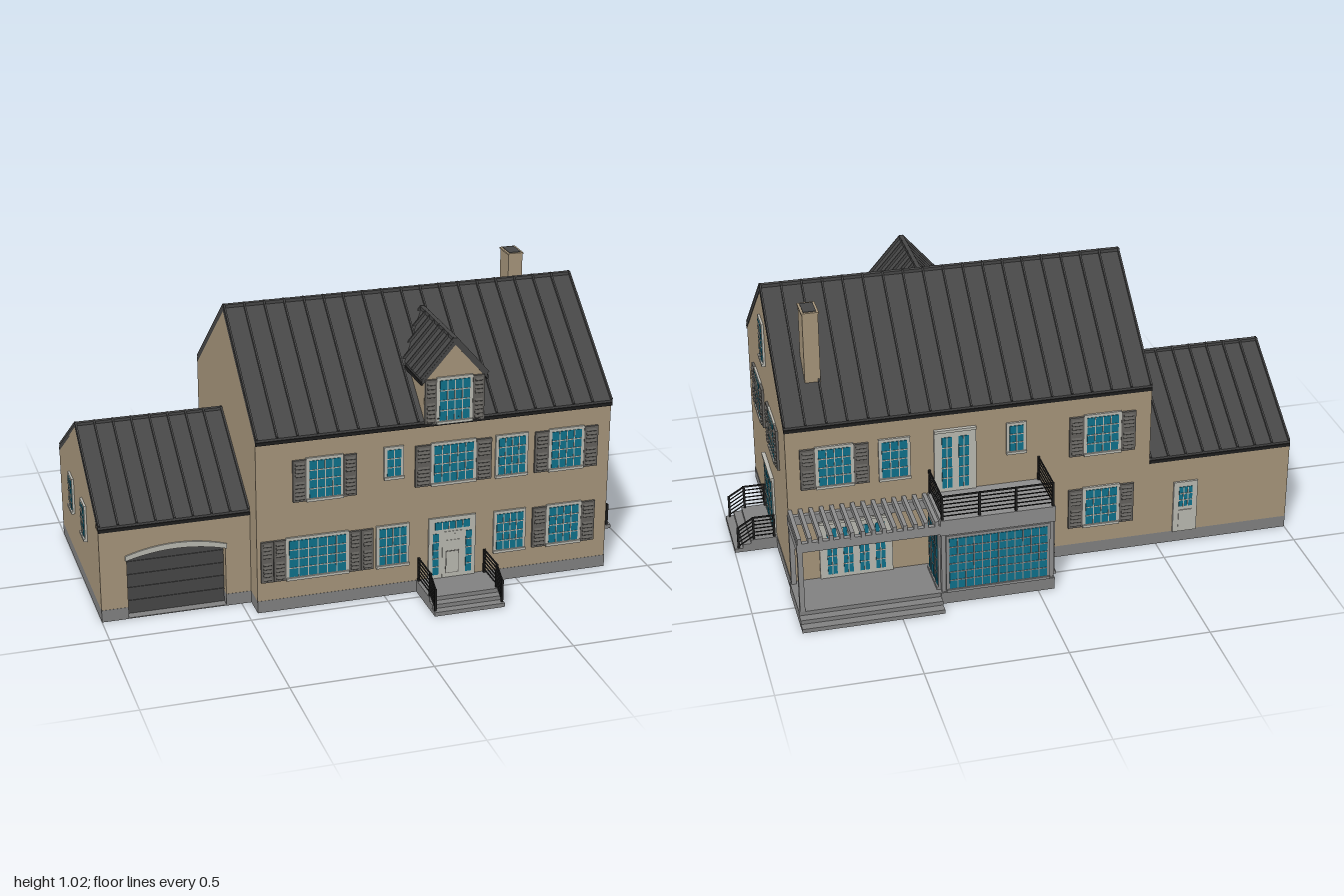
import * as THREE from 'three';

const mat = (name, color) => Object.assign(new THREE.MeshStandardMaterial({ color }), { name });

export function createModel() {
  const M = {
    wall: mat('tan wall', 0xa5947a), roof: mat('charcoal roof', 0x464646), stone: mat('grey stone', 0x808080),
    trim: mat('pale trim', 0xb9b8b0), glass: mat('blue glass', 0x0e708a), shutter: mat('shutter grey', 0x62605c),
    metal: mat('black metal', 0x1e1e1e), paint: mat('grey paint', 0x8c8c8c),
  };
  const root = new THREE.Group();
  root.name = 'house';

  const group = (name, parent = root, x = 0, y = 0, z = 0, ry = 0) => {
    const g = new THREE.Group();
    g.name = name;
    g.position.set(x, y, z);
    g.rotation.y = ry;
    parent.add(g);
    return g;
  };
  const add = (name, geo, m, parent = root) => {
    const mesh = new THREE.Mesh(geo, m);
    mesh.name = name;
    parent.add(mesh);
    return mesh;
  };
  // box given by its limits on each axis
  const box = (name, m, x0, x1, y0, y1, z0, z1, parent = root) => {
    const b = add(name, new THREE.BoxGeometry(x1 - x0, y1 - y0, z1 - z0), m, parent);
    b.position.set((x0 + x1) / 2, (y0 + y1) / 2, (z0 + z1) / 2);
    return b;
  };
  // square bar between two points
  const bar = (name, m, a, b, w, h, parent) => {
    const s = new THREE.Vector3(...a), e = new THREE.Vector3(...b);
    const r = add(name, new THREE.BoxGeometry(w, h, s.distanceTo(e)), m, parent);
    r.position.copy(s).lerp(e, 0.5);
    r.quaternion.setFromRotationMatrix(new THREE.Matrix4().lookAt(e, s, new THREE.Vector3(0, 1, 0)));
    return r;
  };
  const prism = (name, pts, depth, m, parent) => add(name, new THREE.ExtrudeGeometry(
    new THREE.Shape(pts.map(p => new THREE.Vector2(...p))), { depth, bevelEnabled: false }), m, parent);

  // gabled roof with standing seams; ridge runs along local z
  const roof = (g, l, r, eave, ridge, len, seams) => {
    const c = (l + r) / 2, t = 0.02;
    prism('roofSlab', [[l, eave], [l, eave - t], [c, ridge - t], [r, eave - t], [r, eave], [c, ridge]], len, M.roof, g);
    for (let i = 0; i <= seams; i++) {
      const z = 0.004 + (len - 0.008) * i / seams;
      for (const e of [l, r]) bar('roofSeam', M.roof, [e, eave, z], [c, ridge, z], 0.006, 0.018, g);
    }
    box('ridgeCap', M.roof, c - 0.008, c + 0.008, ridge - 0.008, ridge + 0.005, 0, len, g);
    for (const e of [l, r]) box('gutter', M.metal, e - 0.004, e + 0.004, eave - 0.02, eave - 0.008, 0, len, g);
  };

  // main block
  const main = group('mainBlock', root, -0.465, 0, 0, Math.PI / 2);
  prism('mainWalls', [[-0.455, 0.045], [0.4, 0.045], [0.4, 0.642], [-0.03, 0.985], [-0.455, 0.642]], 1.308, M.wall, main);
  roof(main, -0.46, 0.4, 0.655, 0.997, 1.31, 18);
  box('foundation', M.stone, -0.465, 0.845, 0, 0.045, -0.4, 0.456);

  // garage wing
  const wing = group('garageWing', root, -1, 0, 0, Math.PI / 2);
  prism('garageWalls', [[-0.325, 0.045], [0.4, 0.045], [0.4, 0.342], [0.0175, 0.583], [-0.325, 0.364]], 0.535, M.wall, wing);
  roof(wing, -0.365, 0.4, 0.36, 0.595, 0.535, 8);
  box('garageFoundation', M.stone, -1, -0.465, 0, 0.045, -0.4, 0.325);
  const front = new THREE.Shape();
  front.moveTo(-1, 0.045).lineTo(-0.905, 0.045).lineTo(-0.905, 0.225).quadraticCurveTo(-0.73, 0.275, -0.555, 0.225);
  front.lineTo(-0.555, 0.045).lineTo(-0.465, 0.045).lineTo(-0.465, 0.345).lineTo(-1, 0.345);
  add('garageFront', new THREE.ExtrudeGeometry(front, { depth: 0.04, bevelEnabled: false }), M.wall).position.z = 0.325;
  const arch = new THREE.Shape();
  arch.moveTo(-0.91, 0.224).quadraticCurveTo(-0.73, 0.276, -0.55, 0.224).lineTo(-0.55, 0.242);
  arch.quadraticCurveTo(-0.73, 0.3, -0.91, 0.242);
  add('garageArch', new THREE.ExtrudeGeometry(arch, { depth: 0.008, bevelEnabled: false }), M.trim).position.z = 0.363;
  for (const [a, b] of [[-1, -0.905], [-0.555, -0.465]]) box('garagePlinth', M.stone, a, b, 0, 0.045, 0.325, 0.366);
  box('garageThreshold', M.stone, -0.905, -0.555, 0, 0.003, 0.325, 0.365);
  box('garageDoor', M.roof, -0.905, -0.555, 0.003, 0.255, 0.325, 0.331);
  for (let i = 1; i < 5; i++) box('garageDoorRib', M.roof, -0.905, -0.555, i * 0.05, i * 0.05 + 0.004, 0.331, 0.334);

  // chimney
  box('chimney', M.wall, 0.69, 0.745, 0.6, 1.01, -0.276, -0.19);
  box('chimneyCap', M.wall, 0.687, 0.748, 1.01, 1.016, -0.279, -0.187);
  box('chimneyFlue', M.roof, 0.695, 0.74, 1.014, 1.018, -0.27, -0.196);

  // dormer
  prism('dormerWalls', [[0.14, 0.62], [0.36, 0.62], [0.36, 0.805], [0.25, 0.932], [0.14, 0.805]], 0.35, M.wall).position.z = 0.104;
  roof(group('dormerRoof', root, 0, 0, 0.1), 0.13, 0.37, 0.808, 0.945, 0.357, 7);

  // wall faces: local x runs along the wall, local z points outwards
  const F = group('frontOpenings', root, 0, 0, 0.455);
  const R = group('leftSideOpenings', root, 0.843, 0, 0, Math.PI / 2);
  const B = group('backOpenings', root, 0, 0, -0.4, Math.PI);
  const G = group('garageSideOpenings', root, -1, 0, 0, -Math.PI / 2);

  const pane = (g, x0, x1, y0, y1, cols, rows, m = M.trim) => {
    box('glassPane', M.glass, x0, x1, y0, y1, 0.006, 0.01, g);
    for (let i = 1; i < cols; i++) {
      const x = x0 + (x1 - x0) * i / cols;
      box('glazingBar', m, x - 0.0018, x + 0.0018, y0, y1, 0.008, 0.012, g);
    }
    for (let i = 1; i < rows; i++) {
      const y = y0 + (y1 - y0) * i / rows;
      box('glazingBar', m, x0, x1, y - 0.0018, y + 0.0018, 0.008, 0.012, g);
    }
  };
  const shutter = (g, x0, x1, y0, y1) => {
    box('shutterPanel', M.shutter, x0, x1, y0, y1, 0, 0.009, g);
    const n = 10, h = (y1 - y0 - 0.012) / n;
    for (let i = 0; i < n; i++) {
      if (i === 5) continue;
      const s = box('shutterSlat', M.shutter, x0 + 0.008, x1 - 0.008, y0 + 0.008 + i * h, y0 + 0.006 + (i + 0.8) * h, 0.008, 0.012, g);
      s.rotation.x = -0.6;
    }
  };
  // window: centre, glass width, bottom, top, panes, shutter width and leaves per side
  const win = (g, c, w, y0, y1, cols, rows, sw = 0, leaves = 1, m = M.trim) => {
    const f = 0.011, h = w / 2 + f;
    box('windowFrame', m, c - h, c + h, y0, y1, 0, 0.008, g);
    box('windowSill', m, c - h, c + h, y0 - 0.002, y0 + 0.008, 0, 0.014, g);
    pane(g, c - w / 2, c + w / 2, y0 + f, y1 - f, cols, rows, m);
    if (sw) for (const s of [-1, 1]) for (let k = 0; k < leaves; k++) {
      const a = c + s * (h + k * sw), b = a + s * (sw - 0.002);
      shutter(g, Math.min(a, b), Math.max(a, b), y0, y1 - 0.005);
    }
  };
  // glazed double door
  const frenchDoor = (g, c, w, y0, y1, leaves, m = M.trim) => {
    box('doorFrame', m, c - w / 2, c + w / 2, y0, y1, 0, 0.008, g);
    const lw = (w - 0.03) / leaves;
    for (let i = 0; i < leaves; i++) {
      const x = c - w / 2 + 0.015 + i * lw;
      pane(g, x + 0.012, x + lw - 0.012, y0 + 0.015, y1 - 0.03, 2, 5, m);
    }
    box('doorHead', m, c - w / 2, c + w / 2, y1 - 0.01, y1, 0, 0.014, g);
  };

  // front windows
  win(F, -0.22, 0.112, 0.41, 0.57, 4, 4, 0.05);
  win(F, 0.03, 0.05, 0.455, 0.575, 2, 3);
  win(F, 0.25, 0.145, 0.41, 0.57, 5, 4, 0.06);
  win(F, 0.468, 0.1, 0.41, 0.57, 4, 4);
  win(F, 0.675, 0.112, 0.41, 0.57, 4, 4, 0.055);
  win(F, -0.248, 0.206, 0.117, 0.277, 6, 4, 0.046, 2);
  win(F, 0.028, 0.1, 0.117, 0.277, 4, 4);
  win(F, 0.468, 0.1, 0.117, 0.277, 4, 4);
  win(F, 0.675, 0.112, 0.117, 0.277, 4, 4, 0.055);
  win(F, 0.249, 0.11, 0.642, 0.812, 4, 4, 0.045);

  // front door with sidelights and transom
  box('frontDoorFrame', M.trim, 0.162, 0.338, 0.045, 0.28, 0, 0.008, F);
  for (const s of [-1, 1]) {
    const c = 0.25 + s * 0.062;
    pane(F, c - 0.011, c + 0.011, 0.06, 0.22, 1, 5);
  }
  pane(F, 0.185, 0.315, 0.235, 0.264, 5, 1);
  box('frontDoor', M.trim, 0.213, 0.287, 0.047, 0.225, 0, 0.01, F);
  pane(F, 0.222, 0.278, 0.165, 0.215, 3, 2);
  box('doorPanelEdge', M.shutter, 0.225, 0.275, 0.062, 0.15, 0, 0.0105, F);
  box('doorPanel', M.trim, 0.228, 0.272, 0.065, 0.147, 0, 0.012, F);

  // gable end on the left side
  for (const z of [0.193, -0.13]) win(R, -z, 0.115, 0.41, 0.57, 5, 5, 0.05);
  win(R, -0.03, 0.068, 0.705, 0.867, 3, 5);
  frenchDoor(R, -0.0325, 0.205, 0.045, 0.28, 2);

  // back windows and doors
  win(B, -0.675, 0.112, 0.41, 0.57, 4, 4, 0.055);
  win(B, -0.465, 0.09, 0.41, 0.57, 3, 4);
  frenchDoor(B, -0.25, 0.15, 0.335, 0.58, 2);
  win(B, -0.03, 0.05, 0.455, 0.575, 2, 3);
  for (const y of [0.41, 0.117]) win(B, 0.285, 0.115, y, y + 0.16, 4, 4, 0.055);
  frenchDoor(B, -0.61, 0.26, 0.045, 0.275, 4);
  box('garageBackDoor', M.trim, 0.56, 0.65, 0.045, 0.25, 0, 0.008, B);
  pane(B, 0.58, 0.63, 0.15, 0.23, 3, 3);
  box('garageDoorPanel', M.trim, 0.58, 0.63, 0.065, 0.135, 0, 0.011, B);
  for (const z of [-0.145, 0.1]) win(G, z, 0.06, 0.21, 0.345, 3, 4);

  // railing following a line of foot points
  const railing = (g, pts, h, n) => {
    pts.forEach(([x, y, z], i) => {
      box('railPost', M.metal, x - 0.004, x + 0.004, y, y + h, z - 0.004, z + 0.004, g);
      if (i) for (let k = 1; k <= n; k++) {
        const p = pts[i - 1], o = h * k / n - 0.002;
        bar('rail', M.metal, [p[0], p[1] + o, p[2]], [x, y + o, z], 0.004, k === n ? 0.006 : 0.003, g);
      }
    });
  };
  // landing with two lower steps
  const stoop = (name, x, z, ry, w, p, s, rails) => {
    const g = group(name, root, x, 0, z, ry);
    for (let i = 0; i < 3; i++) box('step', M.stone, -w / 2, w / 2, 0, 0.045 - i * 0.015, 0, p + i * s, g);
    if (rails) for (const q of [-1, 1]) {
      const e = q * (w / 2 - 0.006);
      railing(g, [[e, 0.045, 0.008], [e, 0.045, p - 0.012], [e, 0.01, p + s * 1.5]], 0.09, 6);
    }
  };
  stoop('frontStoop', 0.25, 0.455, 0, 0.26, 0.145, 0.03, true);
  stoop('sideStoop', 0.845, 0.0375, Math.PI / 2, 0.245, 0.095, 0.03, true);
  stoop('backPatio', 0.6, -0.4, Math.PI, 0.5, 0.2, 0.032, false);

  // sunroom with balcony
  box('sunroomFoundation', M.stone, -0.06, 0.35, 0, 0.045, -0.602, -0.4);
  box('sunroomWalls', M.paint, -0.056, 0.346, 0.045, 0.325, -0.596, -0.4);
  box('sunroomCornice', M.paint, -0.06, 0.35, 0.275, 0.335, -0.602, -0.4);
  win(group('sunroomBack', root, 0.145, 0, -0.596, Math.PI), 0, 0.35, 0.05, 0.272, 12, 6, 0, 1, M.paint);
  win(group('sunroomRightSide', root, -0.056, 0, -0.5, -Math.PI / 2), 0, 0.14, 0.05, 0.272, 5, 6, 0, 1, M.paint);
  const S = group('sunroomDoorSide', root, 0.346, 0, 0, Math.PI / 2);
  win(S, 0.472, 0.075, 0.047, 0.27, 3, 4, 0, 1, M.paint);
  win(S, 0.546, 0.04, 0.047, 0.27, 2, 4, 0, 1, M.paint);
  railing(group('balconyRailing'), [[-0.052, 0.335, -0.405], [-0.052, 0.335, -0.594], [0.08, 0.335, -0.594],
    [0.21, 0.335, -0.594], [0.342, 0.335, -0.594], [0.342, 0.335, -0.405]], 0.092, 6);

  // pergola
  const P = group('pergola');
  box('outerBeam', M.paint, 0.35, 0.848, 0.28, 0.315, -0.6, -0.582, P);
  box('wallBeam', M.paint, 0.35, 0.848, 0.28, 0.315, -0.415, -0.4, P);
  box('endBeam', M.paint, 0.83, 0.848, 0.28, 0.315, -0.6, -0.4, P);
  for (const z of [-0.591, -0.41]) box('pergolaPost', M.paint, 0.828, 0.846, 0.045, 0.28, z - 0.009, z + 0.009, P);
  for (let i = 0; i < 14; i++) {
    const x = 0.362 + i * 0.0366;
    box('pergolaSlat', M.paint, x - 0.007, x + 0.007, 0.31, 0.335, -0.602, -0.4, P);
  }
  return root;
}
